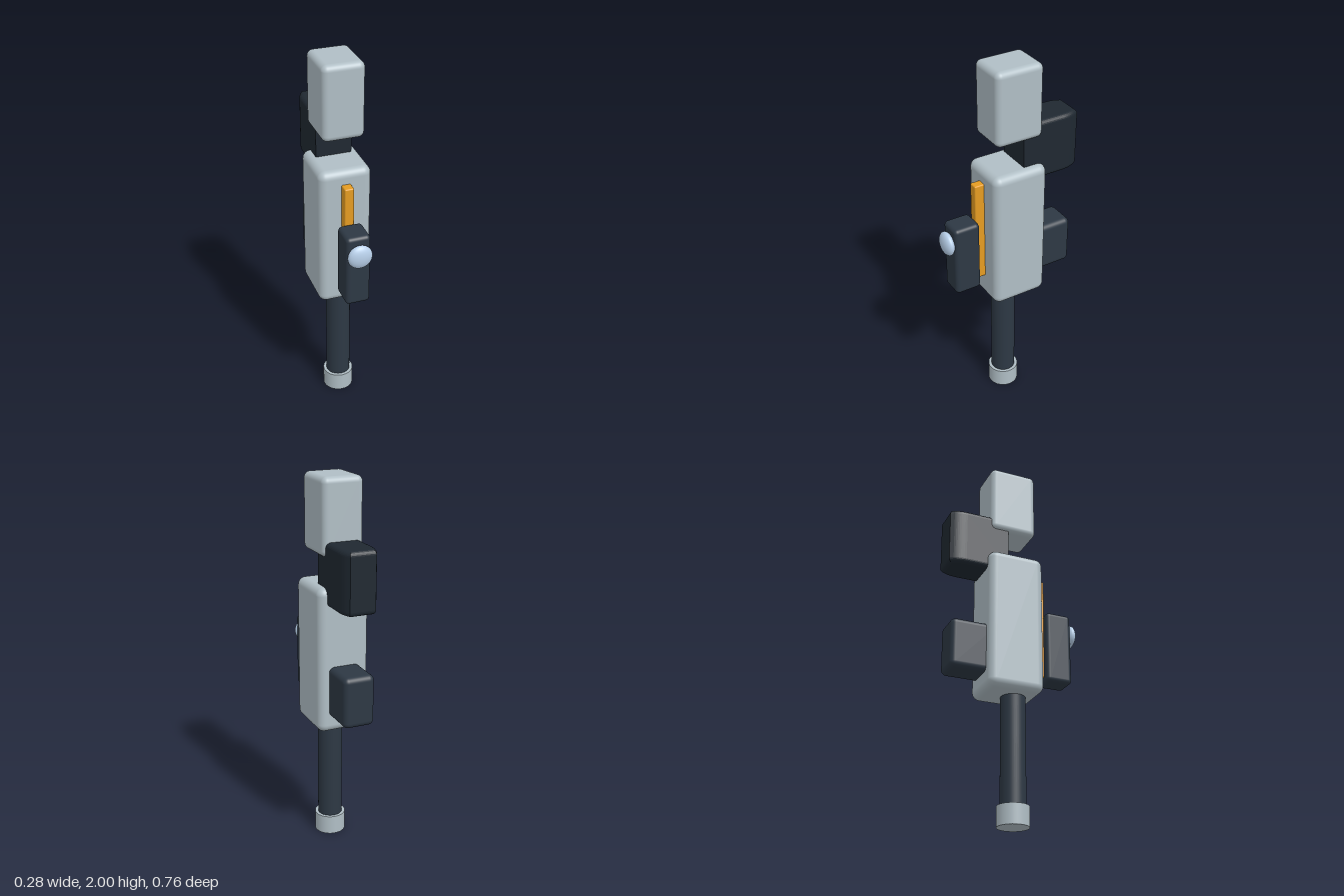
import * as THREE from 'three';
import { RoundedBoxGeometry } from 'three/addons/geometries/RoundedBoxGeometry.js';

const paint = (color) => new THREE.MeshStandardMaterial({ color });

export function createModel() {
  const model = new THREE.Group();
  const shell = paint(0xb0bec5);
  const slate = paint(0x2d3844);
  const black = paint(0x1f2831);
  const amber = paint(0xe59c22);
  const glass = paint(0xb8d0ea);

  const add = (name, geometry, material, x = 0, y = 0, z = 0) => {
    const mesh = new THREE.Mesh(geometry, material);
    mesh.name = name;
    mesh.position.set(x, y, z);
    model.add(mesh);
    return mesh;
  };

  // Rounded block given by its width and its y and z ranges
  const block = (name, material, width, [y0, y1], [z0, z1], radius) =>
    add(name, new RoundedBoxGeometry(width, y1 - y0, z1 - z0, 5, radius), material,
      0, (y0 + y1) / 2, (z0 + z1) / 2);

  // Upright cylinder between two heights
  const post = (name, material, radius, y0, y1) =>
    add(name, new THREE.CylinderGeometry(radius, radius, y1 - y0, 40), material,
      0, (y0 + y1) / 2, 0.015);

  // Pole and foot
  post('footCap', shell, 0.083, 0, 0.105);
  post('pole', slate, 0.066, 0.1, 0.72);

  // Main housing and head
  block('body', shell, 0.28, [0.675, 1.455], [-0.17, 0.138], 0.042);
  block('head', shell, 0.22, [1.605, 2], [-0.155, 0.108], 0.032);

  // Front parts
  block('strip', amber, 0.05, [0.81, 1.38], [0.13, 0.19], 0.007);
  block('frontPanel', slate, 0.13, [0.78, 1.18], [0.185, 0.33], 0.022);
  const button = add('button', new THREE.SphereGeometry(0.065, 40, 24), glass, 0, 1.08, 0.346);
  button.scale.z = 0.47;

  // Rear block on the housing
  block('rearBlock', slate, 0.17, [0.765, 1.038], [-0.36, -0.1], 0.03);

  // Neck block joining body and head, narrowing at its rear corners
  const bevel = 0.025;
  const w = 0.095 - bevel;
  const front = -0.052 - bevel;
  const rear = -0.38 + bevel;
  const plan = new THREE.Shape();
  // Plan is drawn with its second axis along -z
  plan.moveTo(-w, -front);
  plan.lineTo(w, -front);
  plan.lineTo(w, 0.29);
  plan.quadraticCurveTo(w - 0.001, -rear - 0.025, w - 0.016, -rear);
  plan.lineTo(-w + 0.016, -rear);
  plan.quadraticCurveTo(-w + 0.001, -rear - 0.025, -w, 0.29);
  plan.closePath();
  const neck = new THREE.ExtrudeGeometry(plan, {
    depth: 0.323 - 2 * bevel, bevelEnabled: true, bevelSize: bevel,
    bevelThickness: bevel, bevelSegments: 6, curveSegments: 8,
  });
  neck.rotateX(-Math.PI / 2);
  add('neckBlock', neck, black, 0, 1.36 + bevel, 0);

  return model;
}
